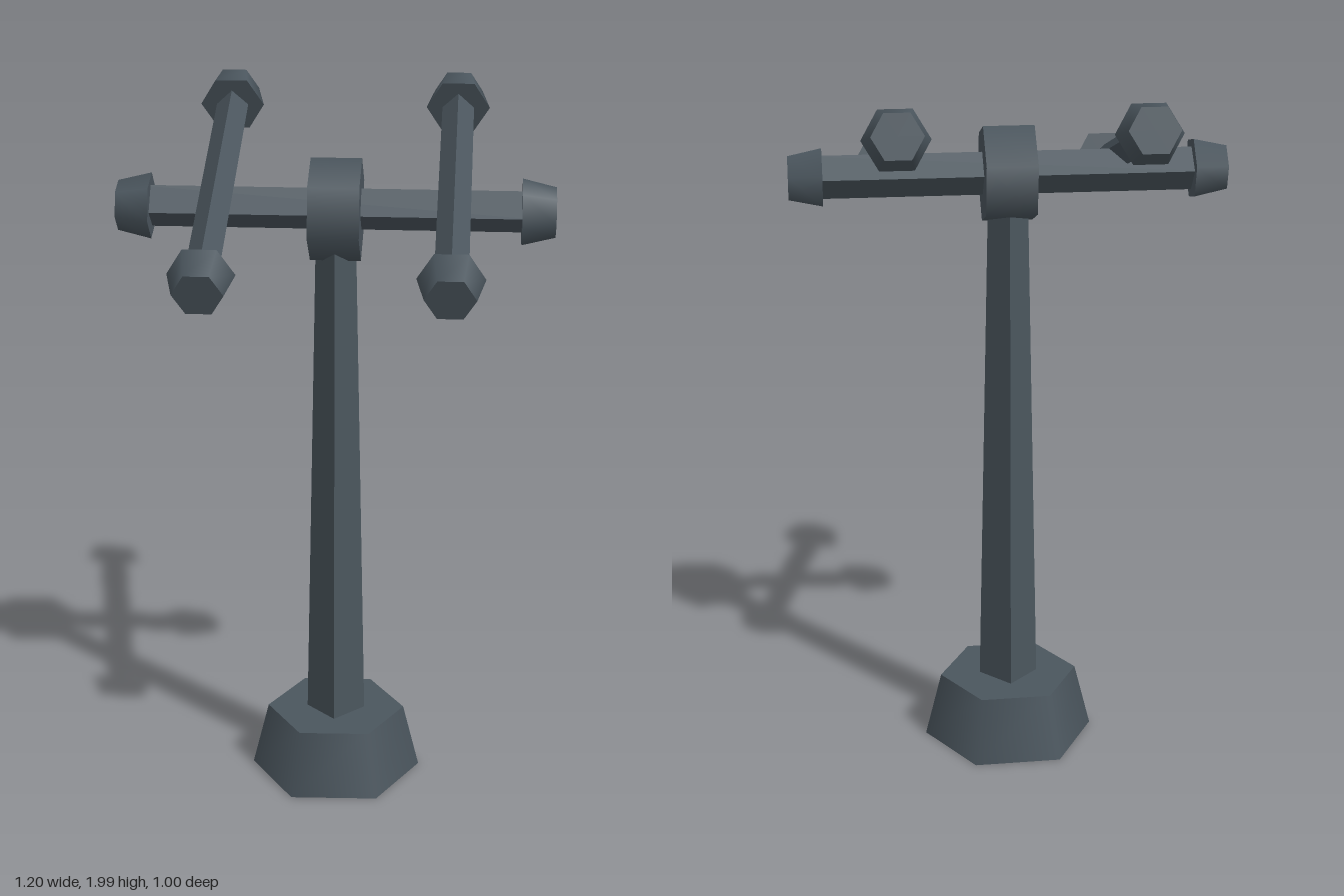
import * as THREE from 'three';

const steel = new THREE.MeshStandardMaterial({ color: 0x4b565e });
steel.name = 'dark steel';

const deg = THREE.MathUtils.degToRad;

// Tapered prism along y; flat gives each side its own normal
function prism(name, rTop, rBottom, length, sides, twist = 0, flat = false) {
  let geometry = new THREE.CylinderGeometry(rTop, rBottom, length, sides, 1, false, deg(twist));
  if (flat) {
    geometry = geometry.toNonIndexed();
    geometry.computeVertexNormals();
  }
  const mesh = new THREE.Mesh(geometry, steel);
  mesh.name = name;
  return mesh;
}

// Square bar along y with a flared hexagonal cap on each end
function cappedBar(name, barRadius, halfLength, barTwist, capTwist) {
  const group = new THREE.Group();
  group.name = name;
  const capLength = 0.092;
  group.add(prism(name + 'Shaft', barRadius, barRadius, 2 * halfLength - capLength, 4, barTwist, true));
  for (const s of [1, -1]) {
    const outer = 0.068, inner = 0.09;
    const cap = prism(name + 'Cap', s > 0 ? outer : inner, s > 0 ? inner : outer, capLength, 6, capTwist);
    cap.position.y = s * (halfLength - capLength / 2);
    group.add(cap);
  }
  return group;
}

export function createModel() {
  const model = new THREE.Group();
  model.name = 'antennaMast';

  // Hexagonal foot
  const base = prism('base', 0.2, 0.247, 0.19, 6, 32);
  base.position.y = 0.095;
  model.add(base);

  // Tapered square post
  const post = prism('post', 0.055, 0.085, 1.5, 4, 0, true);
  post.position.y = 0.9;
  model.add(post);

  // Hexagonal hub lying along x
  const hub = prism('hub', 0.14, 0.14, 0.14, 6, -39);
  hub.rotation.z = -Math.PI / 2;
  hub.position.y = 1.71;
  model.add(hub);

  // Crossbar along x
  const crossbar = cappedBar('crossbar', 0.059, 0.598, 5, 15);
  crossbar.rotation.z = -Math.PI / 2;
  crossbar.position.y = 1.712;
  model.add(crossbar);

  // Pair of tilted side arms, front end low
  for (const s of [1, -1]) {
    const arm = cappedBar(s > 0 ? 'leftArm' : 'rightArm', 0.045, 0.508, 0, 30);
    arm.rotation.x = Math.PI / 2 + deg(19);
    arm.position.set(s * 0.323, 1.773, 0);
    model.add(arm);
  }
  return model;
}
